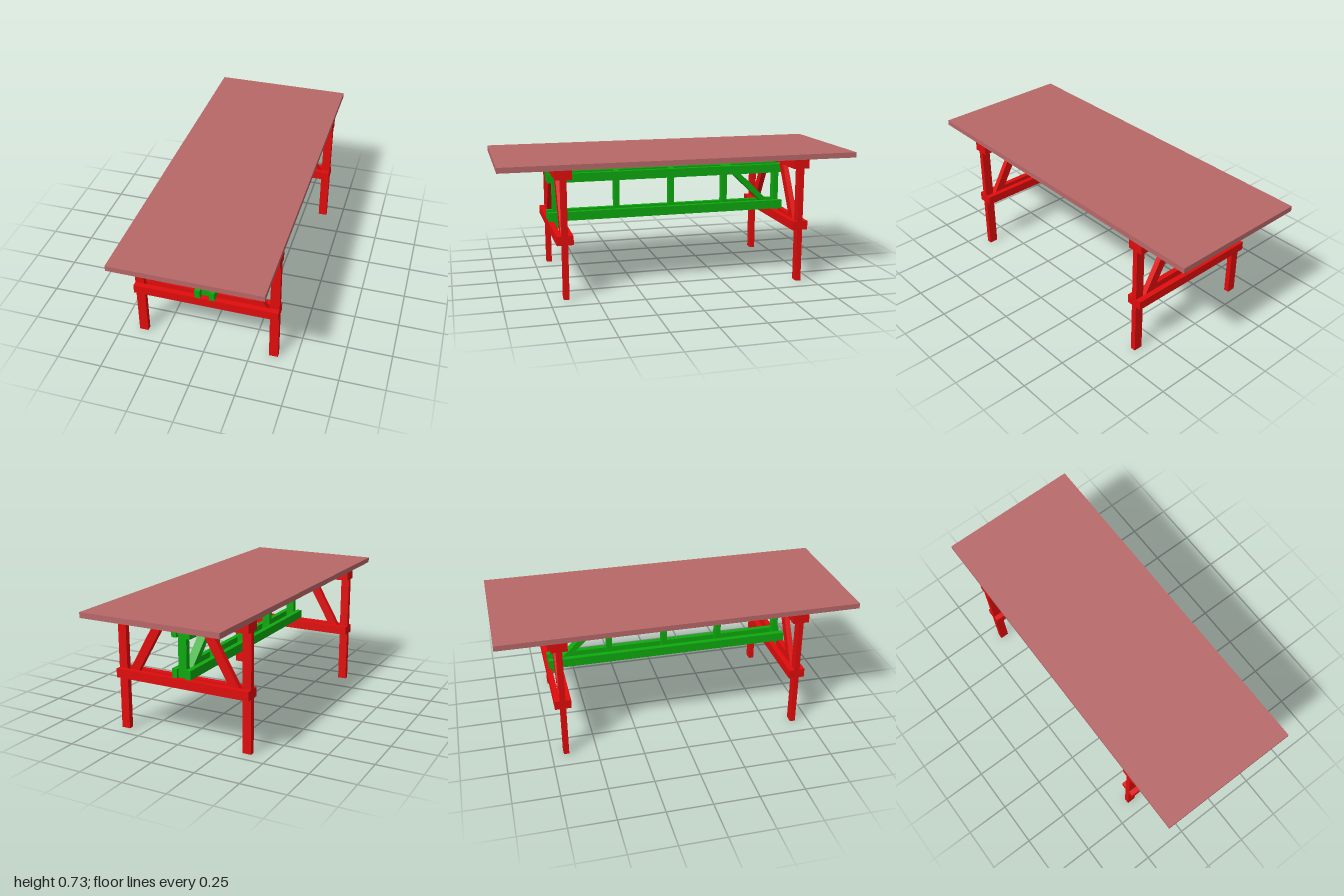
import * as THREE from 'three';

const red = new THREE.MeshStandardMaterial({ color: 0xe00c0c });
const green = new THREE.MeshStandardMaterial({ color: 0x0ea80e });
const rose = new THREE.MeshStandardMaterial({ color: 0xb86868 });

const T = 0.03; // board thickness
const W = 0.05; // board width

// Box given by its extents on each axis
function board(parent, name, material, [x0, x1], [y0, y1], [z0, z1]) {
  const mesh = new THREE.Mesh(new THREE.BoxGeometry(x1 - x0, y1 - y0, z1 - z0), material);
  mesh.position.set((x0 + x1) / 2, (y0 + y1) / 2, (z0 + z1) / 2);
  mesh.name = name;
  parent.add(mesh);
}

// Flat outline extruded symmetrically about its own plane
function plate(points, depth) {
  const shape = new THREE.Shape(points.map(([x, y]) => new THREE.Vector2(x, y)));
  return new THREE.ExtrudeGeometry(shape, { depth, bevelEnabled: false }).translate(0, 0, -depth / 2);
}

// Trestle: legs, braces and post clamped between paired rails
function createTrestle(name, z) {
  const trestle = new THREE.Group();
  trestle.name = name;
  trestle.position.z = z;
  const middle = [-T / 2, T / 2];

  for (const side of [-1, 1]) {
    const legX = side < 0 ? [-0.4, -0.35] : [0.35, 0.4];
    board(trestle, side < 0 ? 'rightLeg' : 'leftLeg', red, legX, [0, 0.7], middle);

    const outline = [[0.302, 0.3], [0.35, 0.3], [0.35, 0.315], [0.128, 0.7], [0.071, 0.7]];
    const brace = new THREE.Mesh(plate(outline.map(([x, y]) => [x * side, y]), T), red);
    brace.name = side < 0 ? 'rightBrace' : 'leftBrace';
    trestle.add(brace);

    const railZ = side < 0 ? [-1.5 * T, -0.5 * T] : [0.5 * T, 1.5 * T];
    board(trestle, 'lowerRail', red, [-0.4, 0.4], [0.3, 0.35], railZ);
    board(trestle, 'upperRail', red, [-0.4, 0.4], [0.65, 0.7], railZ);
  }
  board(trestle, 'endPost', green, [-W / 2, W / 2], [0.3, 0.7], middle);
  return trestle;
}

// Stretcher: paired long rails with posts and one diagonal between them
function createStretcher() {
  const stretcher = new THREE.Group();
  stretcher.name = 'stretcher';

  for (const railX of [[-W / 2 - T, -W / 2], [W / 2, W / 2 + T]]) {
    board(stretcher, 'lowerLongRail', green, railX, [0.35, 0.4], [-0.7, 0.705]);
    board(stretcher, 'upperLongRail', green, railX, [0.57, 0.62], [-0.7, 0.705]);
  }
  for (const z of [-0.345, -0.02, 0.305]) {
    board(stretcher, 'stretcherPost', green, [-W / 2, W / 2], [0.35, 0.62], [z - T / 2, z + T / 2]);
  }

  // Outline runs along -z once turned
  const outline = [[0.655, 0.364], [0.655, 0.35], [0.622, 0.35], [0.36, 0.602], [0.36, 0.62], [0.389, 0.62]];
  const diagonal = new THREE.Mesh(plate(outline, W), green);
  diagonal.rotation.y = Math.PI / 2;
  diagonal.name = 'diagonalBrace';
  stretcher.add(diagonal);
  return stretcher;
}

export function createModel() {
  const table = new THREE.Group();
  table.name = 'trestleTable';
  board(table, 'tableTop', rose, [-0.4, 0.4], [0.7, 0.73], [-1, 1]);
  table.add(createTrestle('frontTrestle', 0.66), createTrestle('backTrestle', -0.67), createStretcher());
  return table;
}
